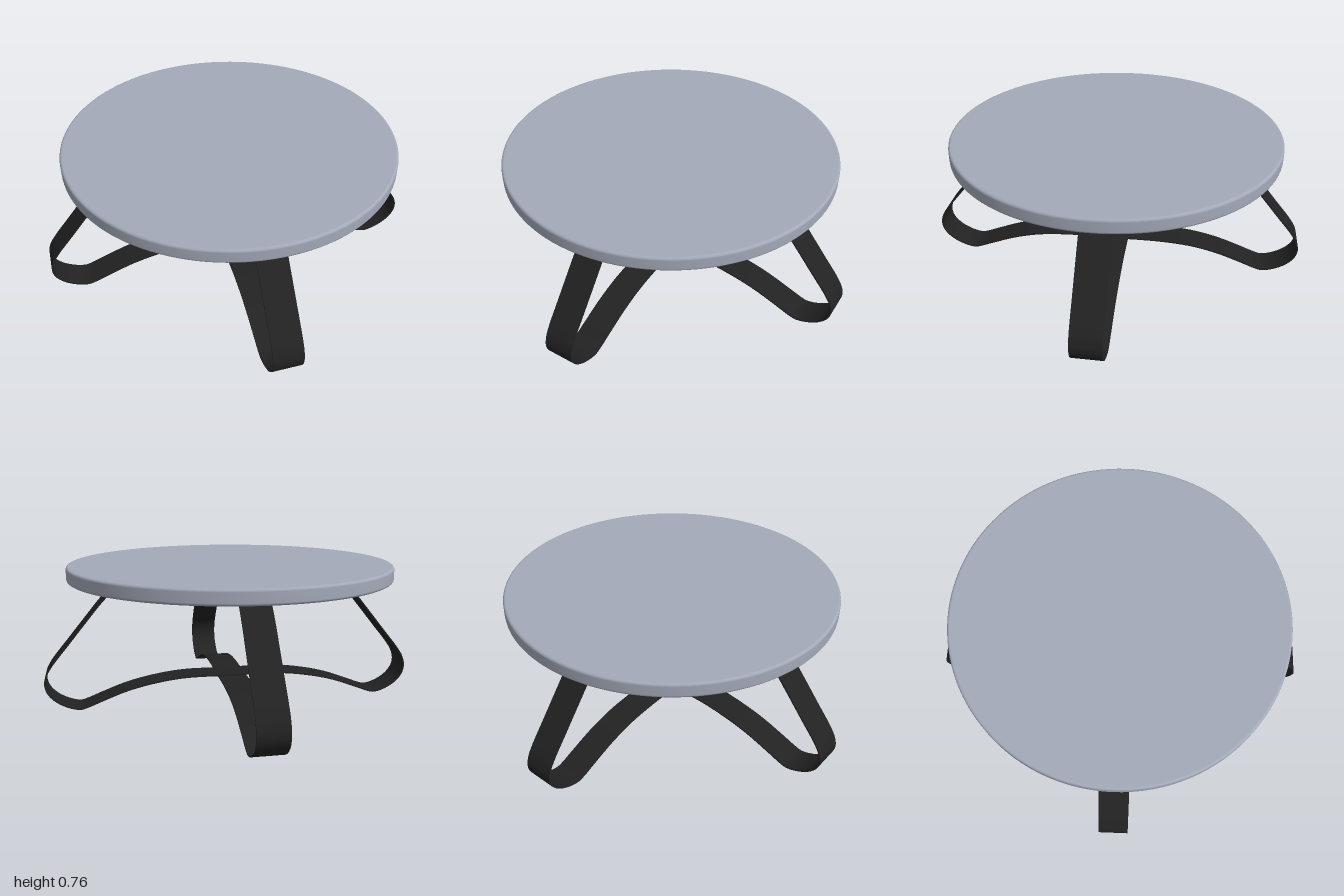
import * as THREE from 'three';
import { toCreasedNormals } from 'three/addons/utils/BufferGeometryUtils.js';

const mat = (name, color) => Object.assign(new THREE.MeshStandardMaterial({ color }), { name });

const STRIP_WIDTH = 0.154;
const STRIP_THICK = 0.007;

// Bent flat strip: pad under the top, out and down, round the foot, over the middle and back up
function stripGeometry(middleY) {
  const half = [
    [0.29, 0.679], [0.43, 0.679], [0.56, 0.679], [0.59, 0.668], [0.68, 0.585], [0.77, 0.478],
    [0.87, 0.355], [0.955, 0.25], [0.985, 0.2], [0.9965, 0.15], [0.985, 0.102], [0.945, 0.055],
    [0.88, 0.018], [0.82, 0.004], [0.785, 0.012], [0.7, 0.045], [0.57, 0.092], [0.43, 0.125], [0.26, middleY],
  ];
  const all = [...half, [0, middleY], ...half.map(([x, y]) => [-x, y]).reverse()];
  const curve = new THREE.CatmullRomCurve3(all.map(([x, y]) => new THREE.Vector3(x, y, 0)), false, 'centripetal');

  const outer = [], inner = [], steps = 240;
  for (let i = 0; i <= steps; i++) {
    const p = curve.getPoint(i / steps), t = curve.getTangent(i / steps);
    const dx = -t.y * STRIP_THICK / 2, dy = t.x * STRIP_THICK / 2;
    outer.push(new THREE.Vector2(p.x + dx, p.y + dy));
    inner.push(new THREE.Vector2(p.x - dx, p.y - dy));
  }
  const shape = new THREE.Shape([...outer, ...inner.reverse()]);
  const geo = new THREE.ExtrudeGeometry(shape, { depth: STRIP_WIDTH, bevelEnabled: false });
  geo.translate(0, 0, -STRIP_WIDTH / 2);
  return toCreasedNormals(geo, 0.6);
}

export function createModel() {
  const model = new THREE.Group();
  model.name = 'roundTable';
  const greyTop = mat('greyTop', 0xa3a9b8);
  const blackSteel = mat('blackSteel', 0x222222);

  const add = (parent, name, geo, material, x = 0, y = 0, z = 0) => {
    const mesh = new THREE.Mesh(geo, material);
    mesh.name = name;
    mesh.position.set(x, y, z);
    parent.add(mesh);
    return mesh;
  };

  // Round top with softened rims
  const R = 0.862, BOTTOM = 0.683, TOP = 0.759, r = 0.014;
  const profile = [new THREE.Vector2(0, BOTTOM)];
  for (const [cy, start] of [[BOTTOM + r, -Math.PI / 2], [TOP - r, 0]]) {
    for (let i = 0; i <= 5; i++) {
      const a = start + (i / 5) * Math.PI / 2;
      profile.push(new THREE.Vector2(R - r + r * Math.cos(a), cy + r * Math.sin(a)));
    }
  }
  profile.push(new THREE.Vector2(0, TOP));
  add(model, 'tableTop', new THREE.LatheGeometry(profile, 128), greyTop);

  // Two crossing leg strips, each with a pair of bolts in both pads
  const boltGeo = new THREE.SphereGeometry(0.013, 16, 8, 0, Math.PI * 2, Math.PI / 2, Math.PI / 2);
  boltGeo.scale(1, 0.8, 1);
  [0.147, 0.14].forEach((middleY, i) => {
    const frame = new THREE.Group();
    frame.name = i ? 'frontBackLegs' : 'sideLegs';
    frame.rotation.y = i * Math.PI / 2;
    add(frame, 'legStrip', stripGeometry(middleY), blackSteel);
    for (const side of [-1, 1])
      for (const x of [0.375, 0.46]) add(frame, 'padBolt', boltGeo, blackSteel, side * x, 0.676, 0);
    model.add(frame);
  });

  // Bolt through the crossing
  add(model, 'crossingBolt', new THREE.CylinderGeometry(0.012, 0.012, 0.014, 20), blackSteel, 0, 0.146, 0);

  return model;
}
